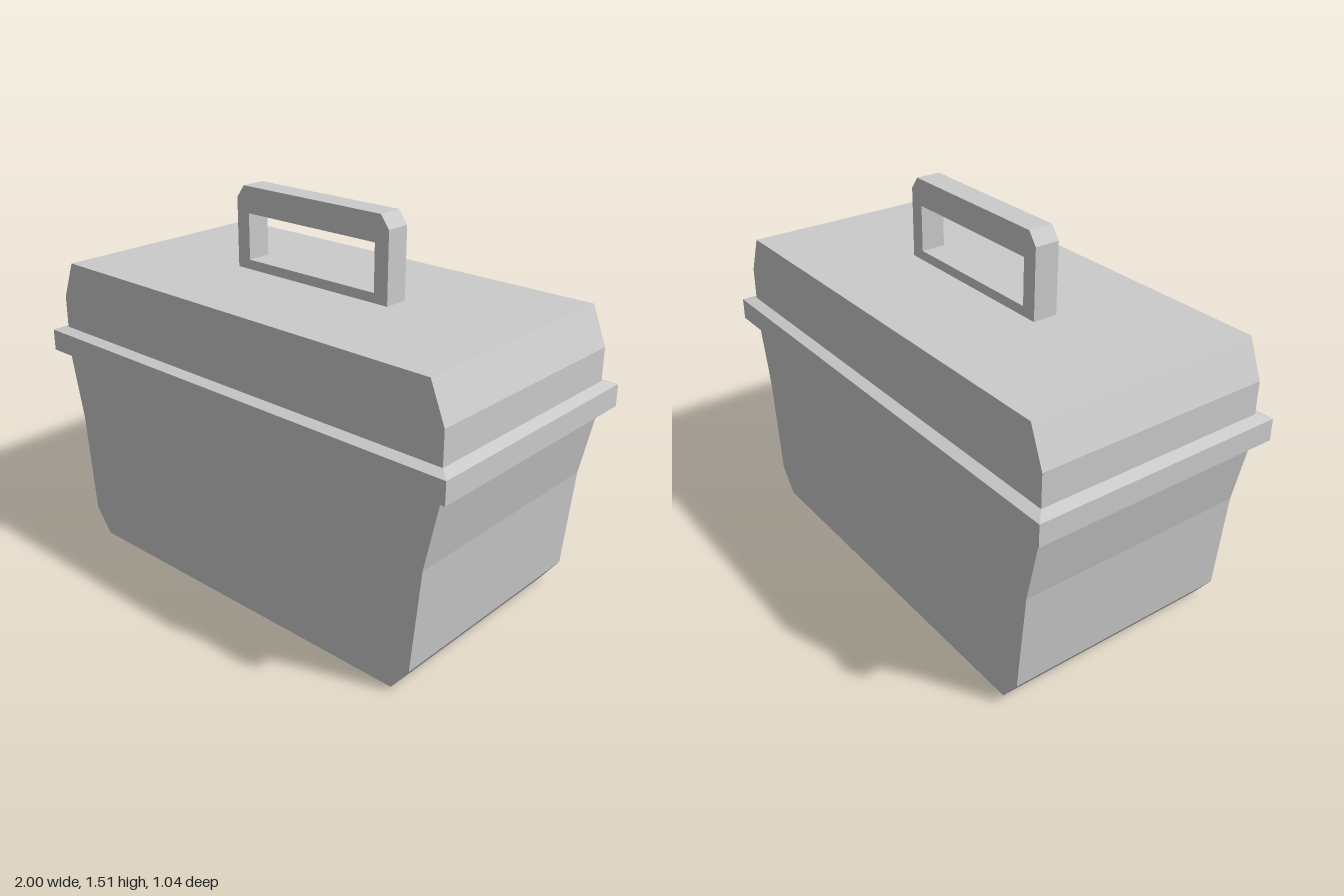
import * as THREE from 'three';

const material = new THREE.MeshStandardMaterial({ color: 0xcccccc, flatShading: true });

// Closed outline mirrored about x = 0 from its right-hand points, bottom to top
function mirrored(points, Type = THREE.Shape) {
  const left = points.map(([x, y]) => [-x, y]).reverse();
  return new Type([...points, ...left].map(([x, y]) => new THREE.Vector2(x, y)));
}

// Extrude an outline along z, centred on z = 0
function slab(name, shape, depth) {
  const geometry = new THREE.ExtrudeGeometry(shape, { depth, bevelEnabled: false });
  geometry.translate(0, 0, -depth / 2);
  const mesh = new THREE.Mesh(geometry, material);
  mesh.name = name;
  return mesh;
}

// Skin stacked rectangles given as [halfWidth, y, halfDepth], bottom to top
function rectangularBand(name, sections) {
  const corners = [[1, 1], [1, -1], [-1, -1], [-1, 1]];
  const positions = [];
  const indices = [];
  for (const [w, y, d] of sections) {
    for (const [sx, sz] of corners) positions.push(sx * w, y, sz * d);
  }
  for (let s = 0; s < sections.length - 1; s++) {
    for (let i = 0; i < 4; i++) {
      const a = s * 4 + i;
      const b = s * 4 + (i + 1) % 4;
      indices.push(a, b, b + 4, a, b + 4, a + 4);
    }
  }
  const indexed = new THREE.BufferGeometry();
  indexed.setAttribute('position', new THREE.Float32BufferAttribute(positions, 3));
  indexed.setIndex(indices);
  const geometry = indexed.toNonIndexed();
  geometry.computeVertexNormals();
  const mesh = new THREE.Mesh(geometry, material);
  mesh.name = name;
  return mesh;
}

export function createModel() {
  const group = new THREE.Group();
  group.name = 'toolbox';
  const depth = 0.955;

  // Tapered container with chamfered bottom edges
  const container = mirrored([[0.78, 0], [0.855, 0.1], [0.895, 0.51], [0.955, 0.79], [0.955, 0.84]]);
  group.add(slab('container', container, depth));

  // Lid with sloped ends
  const lid = mirrored([[0.955, 0.84], [0.955, 1.03], [0.895, 1.18]]);
  group.add(slab('lid', lid, depth));

  // Bevelled rim around the joint
  group.add(rectangularBand('rim', [
    [0.955, 0.787, 0.477],
    [1, 0.8, 0.52],
    [1, 0.887, 0.52],
    [0.955, 0.9, 0.477],
  ]));

  // Carrying handle with a rectangular grip opening
  const handle = mirrored([[0.377, 1.18], [0.377, 1.457], [0.34, 1.507]]);
  handle.holes.push(mirrored([[0.315, 1.218], [0.315, 1.402]], THREE.Path));
  group.add(slab('handle', handle, 0.1));

  return group;
}
